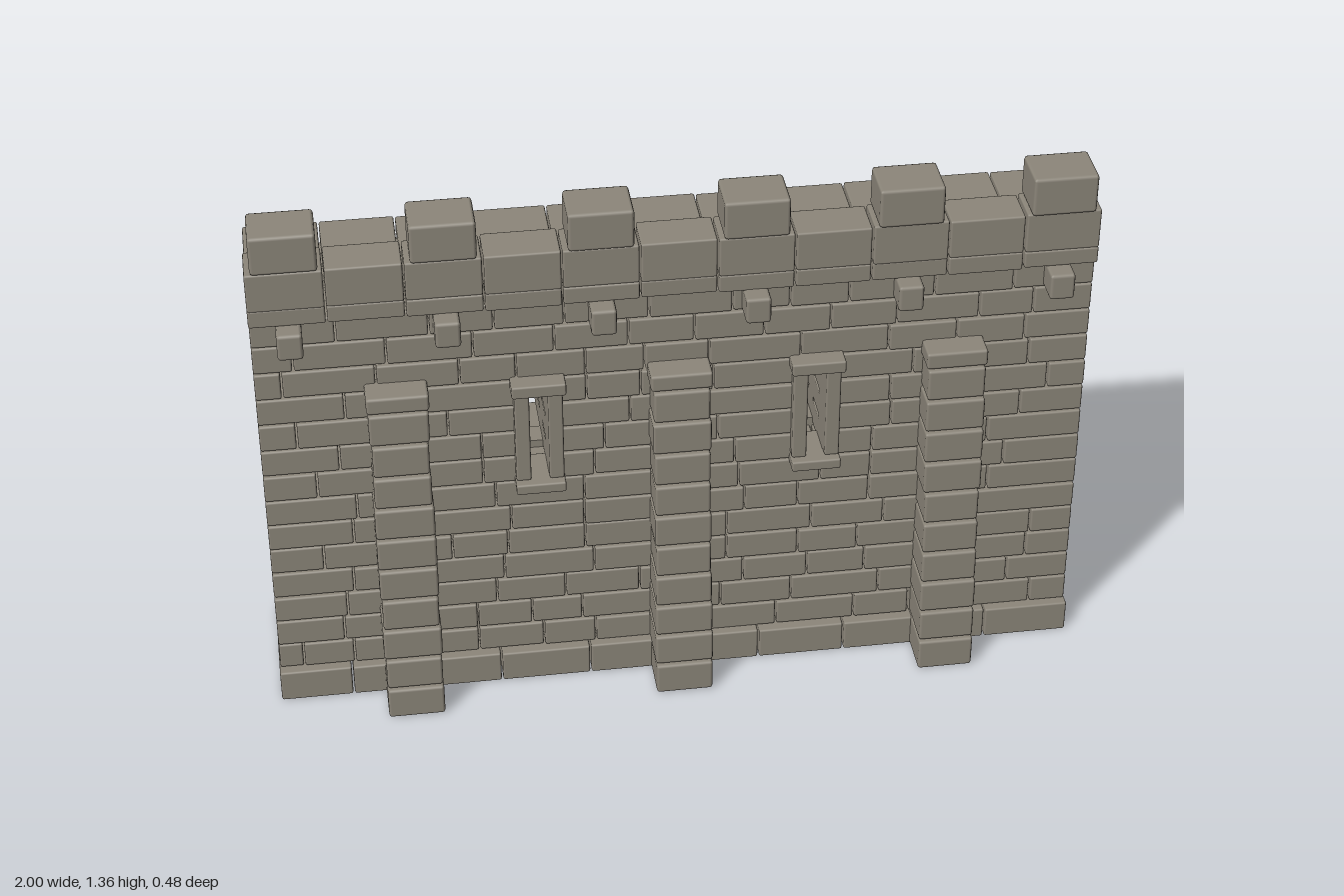
import * as THREE from 'three';
import { mergeGeometries } from 'three/addons/utils/BufferGeometryUtils.js';
import { RoundedBoxGeometry } from 'three/addons/geometries/RoundedBoxGeometry.js';

const WINDOWS = [-0.337, 0.333];
const SLOT = 0.022; // half width of an arrow slit
const MID = -0.052; // joint between front and back leaf
const GAP = 0.004;

export function createModel() {
  const model = new THREE.Group();
  model.name = 'castleWall';
  const stone = new THREE.MeshStandardMaterial({ color: 0x8c867a });
  stone.name = 'grey stone';

  let seed = 17;
  const rand = (a, b) => {
    seed = (seed * 16807) % 2147483647;
    return a + (b - a) * (seed / 2147483647);
  };

  // one softly bevelled stone between two corners
  const block = (x0, x1, y0, y1, z0, z1, r = 0.005) =>
    new RoundedBoxGeometry(x1 - x0, y1 - y0, z1 - z0, 1, r)
      .translate((x0 + x1) / 2, (y0 + y1) / 2, (z0 + z1) / 2);

  const add = (name, geometries, parent = model) => {
    const mesh = new THREE.Mesh(mergeGeometries(geometries), stone);
    mesh.name = name;
    parent.add(mesh);
  };

  // a run of stones of uneven length from a to b
  const run = (a, b, min, max, make) => {
    const out = [];
    let x = a;
    let next = a + rand(min * 0.5, max);
    while (x < b - 0.001) {
      if (b - next < min * 0.55) next = b;
      out.push(make(x + (x === a ? 0 : GAP / 2), next - (next === b ? 0 : GAP / 2)));
      x = next;
      next = x + rand(min, max);
    }
    return out;
  };

  // thin core closing the joints, pierced by the slits
  const face = new THREE.Shape();
  face.moveTo(-0.985, 0.02).lineTo(0.985, 0.02).lineTo(0.985, 1.13).lineTo(-0.985, 1.13).closePath();
  for (const w of WINDOWS) {
    const hole = new THREE.Path();
    hole.moveTo(w - SLOT, 0.62).lineTo(w - SLOT, 0.87).lineTo(w + SLOT, 0.87).lineTo(w + SLOT, 0.62).closePath();
    face.holes.push(hole);
  }
  add('core', [new THREE.ExtrudeGeometry(face, { depth: 0.06, bevelEnabled: false }).translate(0, 0, MID - 0.03)]);

  // brick courses, two leaves deep, interrupted at the slits
  const COURSES = 14, Y0 = 0.085, PITCH = 0.0737;
  const courses = new THREE.Group();
  courses.name = 'brickCourses';
  model.add(courses);
  for (let i = 0; i < COURSES; i++) {
    const y = Y0 + i * PITCH;
    const spans = i >= 7 && i <= 10
      ? [[-0.997, WINDOWS[0] - SLOT], [WINDOWS[0] + SLOT, WINDOWS[1] - SLOT], [WINDOWS[1] + SLOT, 0.997]]
      : [[-0.997, 0.997]];
    for (const side of ['front', 'back']) {
      const bricks = spans.flatMap(([a, b]) => run(a, b, 0.12, 0.225, (x0, x1) => {
        const out = rand(-0.003, 0.001);
        const lo = y + GAP / 2 + rand(-0.001, 0.001);
        const hi = y + PITCH - GAP / 2 + rand(-0.001, 0.001);
        return side === 'front'
          ? block(x0, x1, lo, hi, MID + 0.002, 0.115 + out)
          : block(x0, x1, lo, hi, -0.218 - out, MID - 0.002);
      }));
      add(side + 'Course', bricks, courses);
    }
  }

  // projecting plinth, also two leaves deep
  const plinth = (z0, z1) => run(-1, 1, 0.16, 0.23, (a, b) =>
    block(a, b, 0, 0.086 + rand(-0.003, 0.002), z0, z1));
  add('plinthFront', plinth(MID + 0.001, 0.135));
  add('plinthBack', plinth(-0.24, MID - 0.001));

  // walkway slabs and parapet, eleven bays
  const slabs = [], parapet = [];
  for (let i = 0; i < 11; i++) {
    const a = -1 + (i * 2) / 11 + 0.002, b = -1 + ((i + 1) * 2) / 11 - 0.002;
    slabs.push(block(a, b, 1.112 + rand(-0.003, 0.003), 1.16 - rand(0, 0.003), -0.24, 0.135));
    parapet.push(block(a, b, 1.157, 1.262 - rand(0, 0.005), 0.031, 0.135 + rand(-0.002, 0.002)));
  }
  add('walkway', slabs);
  add('parapet', parapet);

  // merlons with a corbel under each
  const merlons = [], corbels = [];
  for (let i = 0; i < 6; i++) {
    const x = -0.907 + i * 0.3625;
    merlons.push(block(x - 0.077, x + 0.077, 1.26, 1.36 - rand(0, 0.003), 0.025, 0.144, 0.008));
    corbels.push(block(x - 0.03, x + 0.03, 1.047, 1.115, 0.09, 0.18, 0.008));
  }
  add('merlons', merlons);
  add('corbels', corbels);

  // stepped buttresses, leaning back towards the top
  for (const x of [-0.67, 0, 0.663]) {
    const stones = [];
    for (let i = 0; i < 10; i++) {
      const half = 0.069 + rand(-0.002, 0.003);
      stones.push(block(x - half, x + half, i * 0.0875 + 0.001, (i + 1) * 0.0875 - 0.002, 0.09, 0.241 - i * 0.0062, 0.007));
    }
    stones.push(block(x - 0.074, x + 0.074, 0.876, 0.92, 0.09, 0.181, 0.007));
    add('buttress', stones);
  }

  // slit surrounds
  for (const w of WINDOWS) {
    add('slitSurround', [
      block(w - 0.065, w + 0.065, 0.873, 0.906, 0.03, 0.16),
      block(w - 0.06, w + 0.06, 0.592, 0.62, 0.03, 0.16),
      block(w - 0.058, w - SLOT, 0.62, 0.873, 0.05, 0.14),
      block(w + SLOT, w + 0.058, 0.62, 0.873, 0.05, 0.14),
    ]);
  }
  return model;
}
